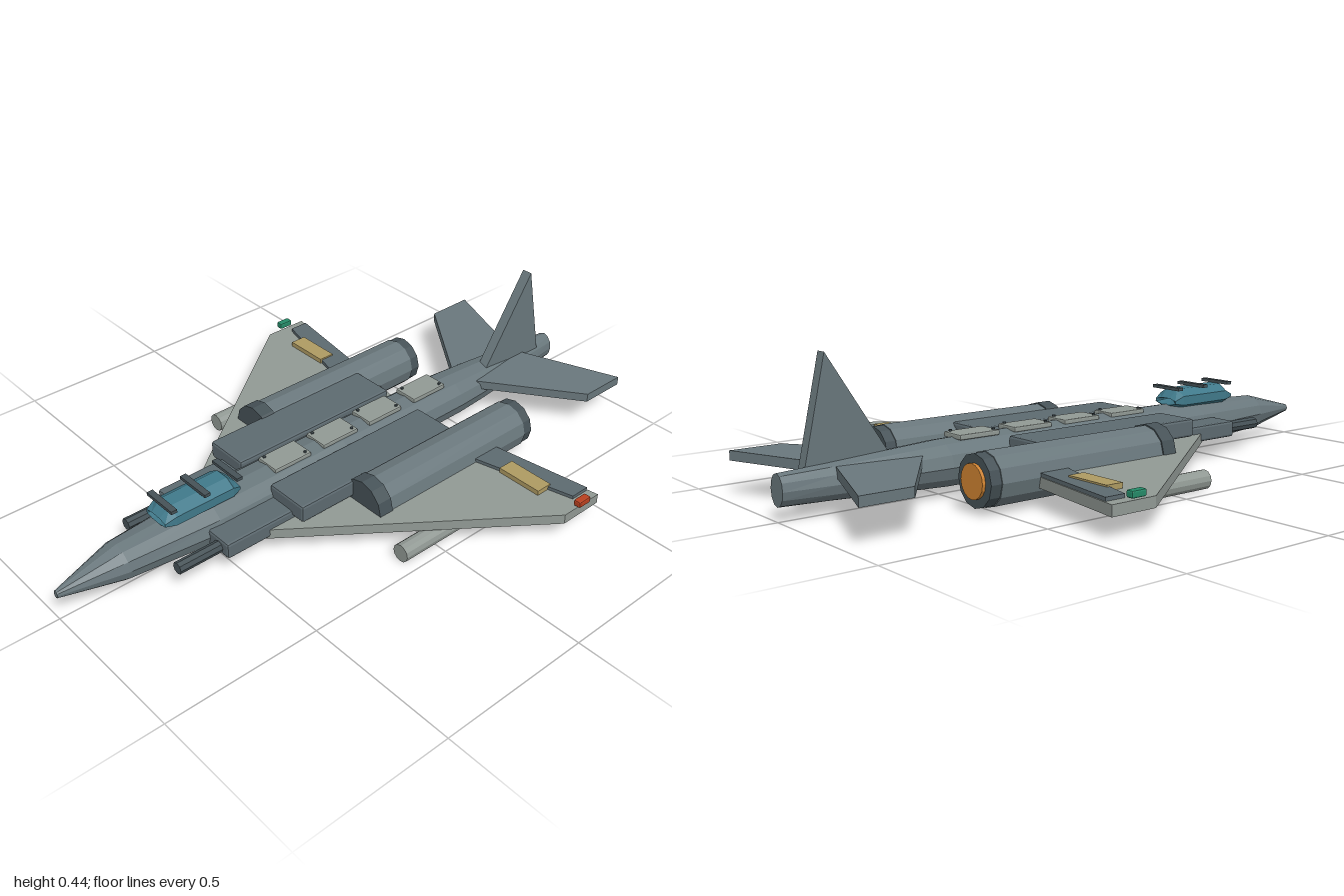
import * as THREE from 'three';
import { RoundedBoxGeometry } from 'three/addons/geometries/RoundedBoxGeometry.js';

const paint = (name, color) => {
  const m = new THREE.MeshStandardMaterial({ color, flatShading: true });
  m.name = name;
  return m;
};
const mats = {
  hull: paint('slate grey', 0x69777c),
  pod: paint('deep slate', 0x5d6a70),
  dark: paint('dark grey', 0x465257),
  light: paint('light grey', 0x919994),
  glass: paint('teal glass', 0x40798a),
  orange: paint('exhaust orange', 0xd08432),
  tan: paint('tan', 0xae9a62),
  red: paint('red', 0xb8401f),
  green: paint('green', 0x258a68),
};

// Elliptical skin along x from rings of [x, centre y, half height, half width]
function loft(rings, sides = 12, turn = 0) {
  const pos = [];
  const point = (j, i) => {
    const [x, y, h, w] = rings[j], a = (i / sides) * Math.PI * 2 + turn;
    return [x, y + h * Math.cos(a), w * Math.sin(a)];
  };
  for (let j = 0; j < rings.length - 1; j++) {
    for (let i = 0; i < sides; i++) {
      const a = point(j, i), b = point(j, i + 1), c = point(j + 1, i), d = point(j + 1, i + 1);
      pos.push(...a, ...b, ...c, ...b, ...d, ...c);
    }
  }
  const g = new THREE.BufferGeometry();
  g.setAttribute('position', new THREE.Float32BufferAttribute(pos, 3));
  g.computeVertexNormals();
  return g;
}

// Closed round drum along x
const drum = (x0, x1, r, y = 0, sides = 12) =>
  loft([[x0, y, 0, 0], [x0, y, r, r], [x1, y, r, r], [x1, y, 0, 0]], sides);

// Flat plate from an outline in x and z, between two heights
function slab(points, y0, y1, side = 1) {
  const shape = new THREE.Shape(points.map(([x, z]) => new THREE.Vector2(x, -z * side)));
  const g = new THREE.ExtrudeGeometry(shape, { depth: y1 - y0, bevelEnabled: false });
  return g.rotateX(-Math.PI / 2).translate(0, y0, 0);
}

// Box from its limits, with softened edges when r is given
function block(x0, x1, y0, y1, z0, z1, r = 0) {
  const s = [x1 - x0, y1 - y0, Math.abs(z1 - z0)];
  const g = r ? new RoundedBoxGeometry(...s, 1, r) : new THREE.BoxGeometry(...s);
  return g.translate((x0 + x1) / 2, (y0 + y1) / 2, (z0 + z1) / 2);
}

export function createModel() {
  const model = new THREE.Group();
  model.name = 'jet';
  const add = (name, geometry, mat, parent = model) => {
    const mesh = new THREE.Mesh(geometry, mats[mat]);
    mesh.name = name;
    parent.add(mesh);
    return mesh;
  };

  // Fuselage
  add('fuselage', loft([
    [-1, 0.09, 0, 0], [-1, 0.09, 0.012, 0.01], [-0.8, 0.097, 0.058, 0.065],
    [-0.5, 0.093, 0.073, 0.093], [0, 0.093, 0.074, 0.093], [0.5, 0.09, 0.07, 0.086],
    [0.62, 0.089, 0.064, 0.078], [0.85, 0.087, 0.052, 0.052],
    [1, 0.086, 0.046, 0.034], [1, 0.086, 0, 0],
  ]), 'hull');

  // Canopy with three cross bars
  add('canopy', loft([
    [-0.63, 0.185, 0, 0], [-0.665, 0.175, 0.012, 0.05], [-0.63, 0.18, 0.038, 0.06],
    [-0.43, 0.18, 0.038, 0.06], [-0.4, 0.175, 0.012, 0.05], [-0.43, 0.185, 0, 0],
  ], 8, Math.PI / 8), 'glass');
  for (const x of [-0.64, -0.525, -0.41])
    add('canopyBar', block(x - 0.01, x + 0.01, 0.215, 0.225, -0.06, 0.06), 'dark');

  // Riveted spine panels
  for (const x of [-0.195, -0.005, 0.185, 0.38]) {
    add('spinePanel', block(x - 0.07, x + 0.07, 0.155, 0.171, -0.042, 0.042, 0.004), 'light');
    for (const k of [-1, 1])
      add('rivet', new THREE.CylinderGeometry(0.005, 0.005, 0.006, 6)
        .translate(x + k * 0.055, 0.173, k * 0.03), 'dark');
  }

  // Tail fin
  const fin = new THREE.Shape([[0.645, 0.12], [0.92, 0.12], [0.85, 0.437]]
    .map(([x, y]) => new THREE.Vector2(x, y)));
  add('tailFin', new THREE.ExtrudeGeometry(fin, { depth: 0.035, bevelEnabled: false }), 'hull');

  for (const s of [-1, 1]) {
    const half = new THREE.Group();
    half.name = s > 0 ? 'nearSide' : 'farSide';
    model.add(half);

    // Wing, flap and painted service panel
    add('wing', slab([[-0.53, 0.07], [0.3, 0.69], [0.45, 0.69], [0.35, 0.07]], 0.06, 0.092, s), 'light', half);
    add('flap', slab([[0.375, 0.655], [0.44, 0.655], [0.385, 0.3], [0.285, 0.3]], 0.091, 0.103, s), 'pod', half);
    add('wingPanel', block(0.31, 0.365, 0.092, 0.108, s * 0.42, s * 0.575), 'tan', half);
    add('tipLight', block(0.345, 0.395, 0.1, 0.121, s * 0.68, s * 0.705, 0.005), s > 0 ? 'red' : 'green', half);

    // Horizontal tail
    add('tailplane', slab([[0.545, 0], [0.805, 0.357], [0.965, 0.357], [0.83, 0]], 0.103, 0.132, s), 'hull', half);

    // Side fairings and gun
    add('frontFairing', block(-0.545, 0, 0.065, 0.117, s * 0.07, s * 0.172, 0.008), 'pod', half);
    add('upperFairing', block(-0.31, 0.3, 0.1, 0.157, s * 0.07, s * 0.22, 0.008), 'pod', half);
    add('gun', drum(-0.69, -0.5, 0.019, 0.088, 8).translate(0, 0, s * 0.128), 'dark', half);

    // Engine
    const engine = new THREE.Group();
    engine.name = 'engine';
    engine.position.set(0, 0.091, s * 0.258);
    half.add(engine);
    add('engineBody', drum(-0.1, 0.52, 0.079), 'hull', engine);
    add('intakeRing', drum(-0.115, -0.065, 0.083), 'dark', engine);
    add('nozzleRing', drum(0.51, 0.555, 0.076), 'dark', engine);
    add('exhaust', drum(0.55, 0.565, 0.05, 0, 16), 'orange', engine);

    // Underwing store
    add('store', drum(-0.13, 0.18, 0.029, 0.029, 12).translate(0, 0, s * 0.443), 'light', half);
  }
  return model;
}
